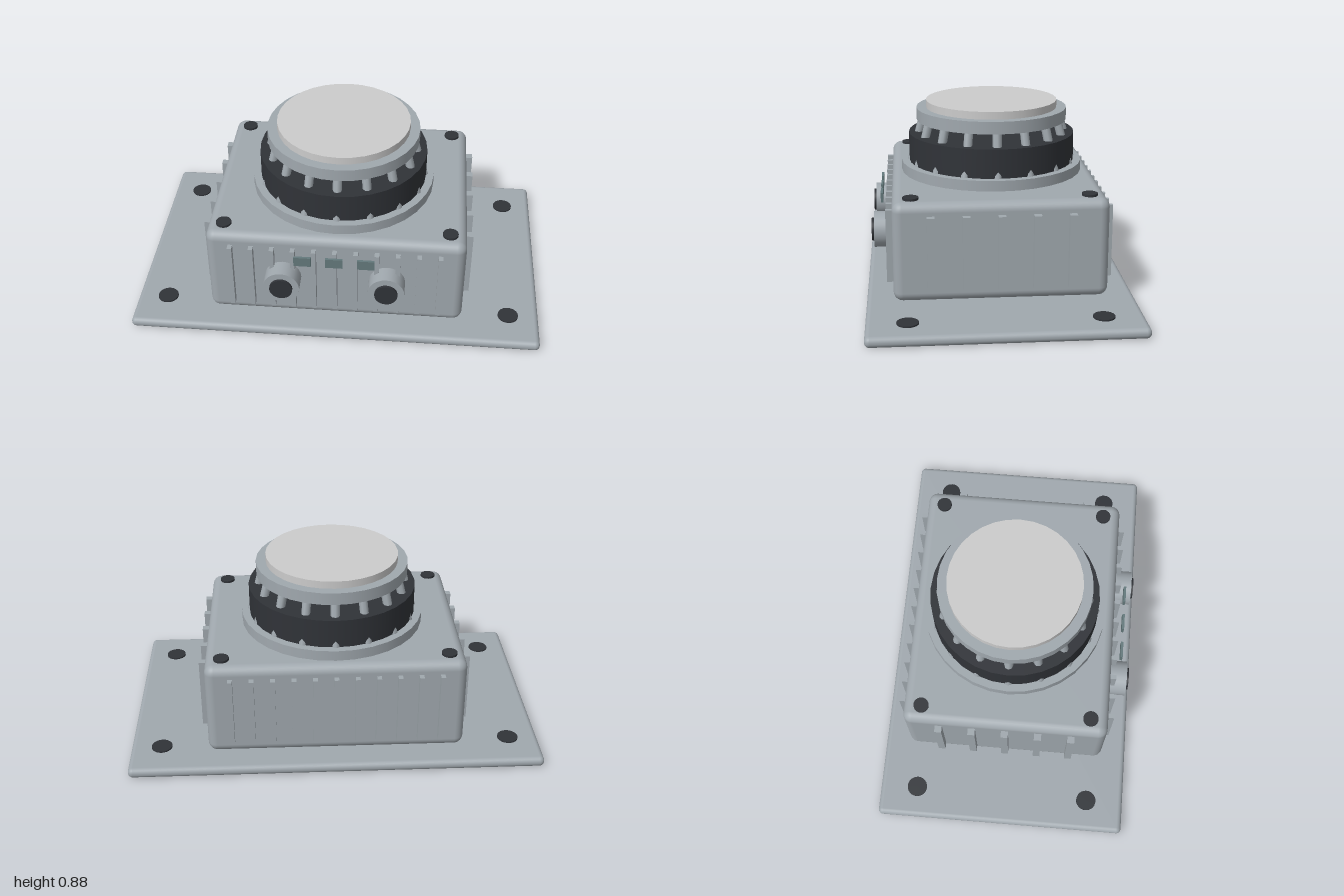
import * as THREE from 'three';
import { RoundedBoxGeometry } from 'three/addons/geometries/RoundedBoxGeometry.js';

const metal = new THREE.MeshStandardMaterial({ color: 0xa0a8ae });
const dark = new THREE.MeshStandardMaterial({ color: 0x303338 });
const teal = new THREE.MeshStandardMaterial({ color: 0x64797c });
const pale = new THREE.MeshStandardMaterial({ color: 0xcccccc });

export function createModel() {
  const model = new THREE.Group();
  model.name = 'mountedSensor';

  const add = (name, geometry, material, x, y, z) => {
    const mesh = new THREE.Mesh(geometry, material);
    mesh.name = name;
    mesh.position.set(x, y, z);
    model.add(mesh);
    return mesh;
  };
  // Upright disc between two heights
  const disc = (name, r, y0, y1, material, x = 0, z = 0, sides = 32) =>
    add(name, new THREE.CylinderGeometry(r, r, y1 - y0, sides), material, x, (y0 + y1) / 2, z);
  // Disc lying along z between two depths
  const plug = (name, r, z0, z1, material, x, y) => {
    const mesh = add(name, new THREE.CylinderGeometry(r, r, z1 - z0, 24), material, x, y, (z0 + z1) / 2);
    mesh.rotation.x = Math.PI / 2;
  };

  // Mounting plate and housing
  add('basePlate', new RoundedBoxGeometry(2, 0.05, 1.25, 4, 0.024), metal, 0, 0.025, 0);
  add('housing', new RoundedBoxGeometry(1.24, 0.475, 1, 4, 0.045), metal, 0, 0.2875, 0);

  // Bolts on the plate and screws on the lid
  for (const sx of [-1, 1]) {
    for (const sz of [-1, 1]) {
      disc('plateBolt', 0.05, 0.03, 0.057, dark, sx * 0.85, sz * 0.437, 24);
      disc('lidScrew', 0.037, 0.5, 0.536, dark, sx * 0.54, sz * 0.413, 24);
    }
  }

  // Cooling fins on all four walls
  const longFin = new THREE.BoxGeometry(0.022, 0.35, 0.06);
  const sideFin = new THREE.BoxGeometry(0.06, 0.35, 0.035);
  for (const s of [-1, 1]) {
    for (let i = -5; i <= 5; i++) add('longWallFin', longFin, metal, i * 0.1, 0.29, s * 0.5);
    for (let i = -2; i <= 2; i++) add('sideWallFin', sideFin, metal, s * 0.623, 0.29, i * 0.1625);
  }

  // Front connectors and status plates
  for (const x of [-0.25, 0.25]) {
    plug('connector', 0.087, 0.48, 0.59, metal, x, 0.29);
    plug('connectorSocket', 0.055, 0.5, 0.602, dark, x, 0.29);
  }
  for (const x of [-0.15, 0, 0.15]) {
    add('statusPlate', new THREE.BoxGeometry(0.082, 0.05, 0.012), teal, x, 0.43, 0.551);
  }

  // Turret: flange, dark band, top ring and lens cap
  disc('flange', 0.45, 0.52, 0.576, metal);
  disc('turretBand', 0.412, 0.576, 0.717, dark);
  disc('topRing', 0.373, 0.78, 0.84, metal);
  disc('lensCap', 0.325, 0.84, 0.877, pale);

  // Leaning struts carrying the top ring
  const low = new THREE.Vector2(0.402, 0.56);
  const high = new THREE.Vector2(0.34, 0.79);
  const strutGeometry = new THREE.CylinderGeometry(0.022, 0.022, low.distanceTo(high), 8);
  strutGeometry.rotateZ(Math.atan2(low.x - high.x, high.y - low.y));
  strutGeometry.translate((low.x + high.x) / 2, (low.y + high.y) / 2, 0);
  for (let i = 0; i < 16; i++) {
    add('strut', strutGeometry, metal, 0, 0, 0).rotation.y = (i / 16) * Math.PI * 2;
  }

  return model;
}
